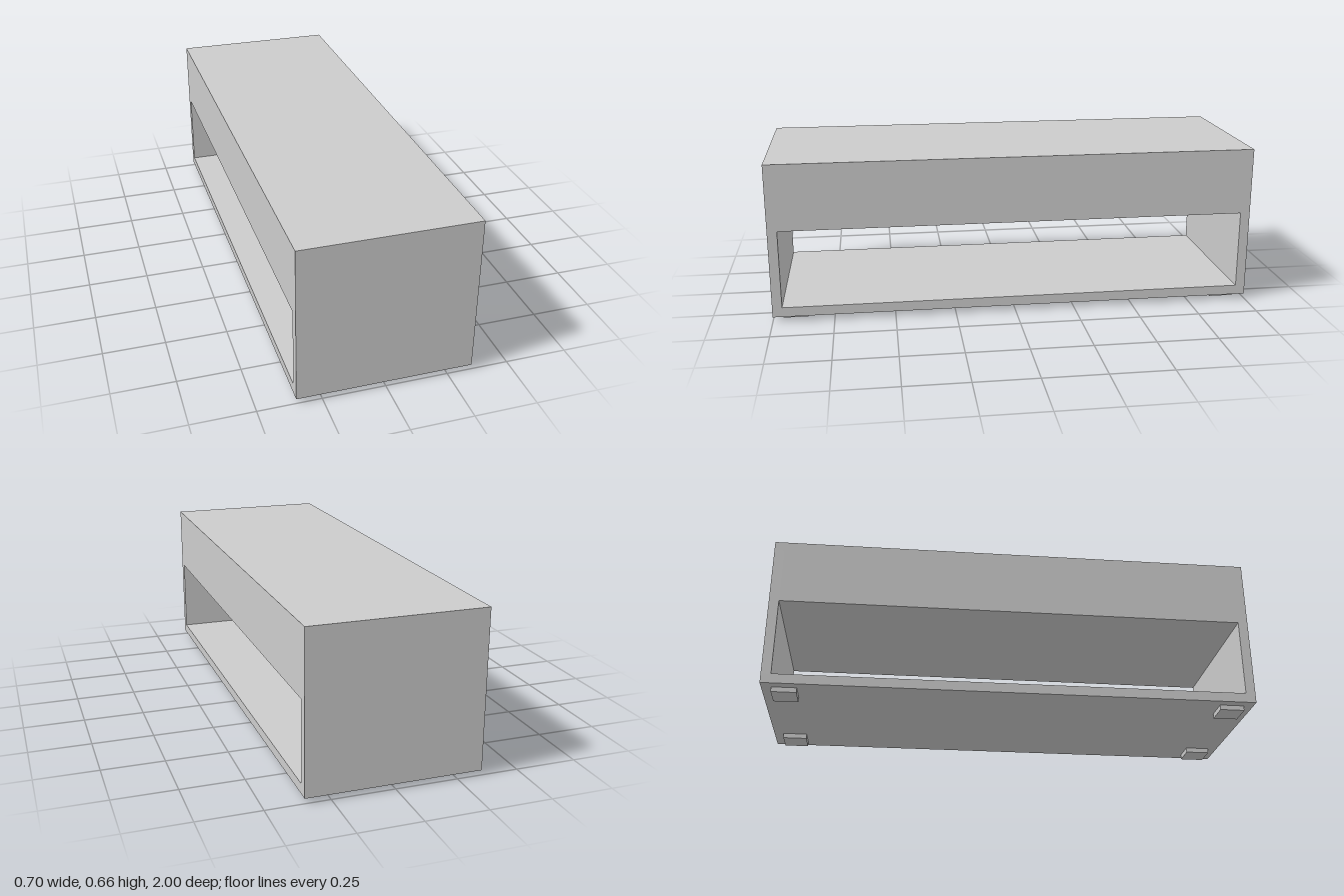
import * as THREE from 'three';

const material = new THREE.MeshStandardMaterial({ color: 0xcccccc });

// Box given by its size, the height of its underside and its x/z centre
function addBox(group, name, [w, h, d], bottom, x = 0, z = 0) {
  const mesh = new THREE.Mesh(new THREE.BoxGeometry(w, h, d), material);
  mesh.name = name;
  mesh.position.set(x, bottom + h / 2, z);
  group.add(mesh);
}

export function createModel() {
  const group = new THREE.Group();
  group.name = 'lowCabinet';

  const width = 0.7, length = 2, board = 0.04, footHeight = 0.02;
  const floorTop = footHeight + board;
  const topBottom = 0.62;

  // Horizontal boards
  addBox(group, 'bottomBoard', [width, board, length], footHeight);
  addBox(group, 'topBoard', [width, board, length], topBottom);

  // Drawer block hanging under the top, flush on both long sides
  addBox(group, 'drawerBlock', [width, topBottom - 0.385, length - 2 * board], 0.385);

  for (const sz of [1, -1]) {
    // End panels between the boards
    addBox(group, sz > 0 ? 'frontEndPanel' : 'backEndPanel',
      [width, topBottom - floorTop, board], floorTop, 0, sz * (length - board) / 2);

    // Square feet
    for (const sx of [1, -1]) {
      addBox(group, `${sz > 0 ? 'front' : 'back'}${sx > 0 ? 'Left' : 'Right'}Foot`,
        [0.1, footHeight, 0.1], 0, sx * 0.26, sz * 0.91);
    }
  }
  return group;
}
